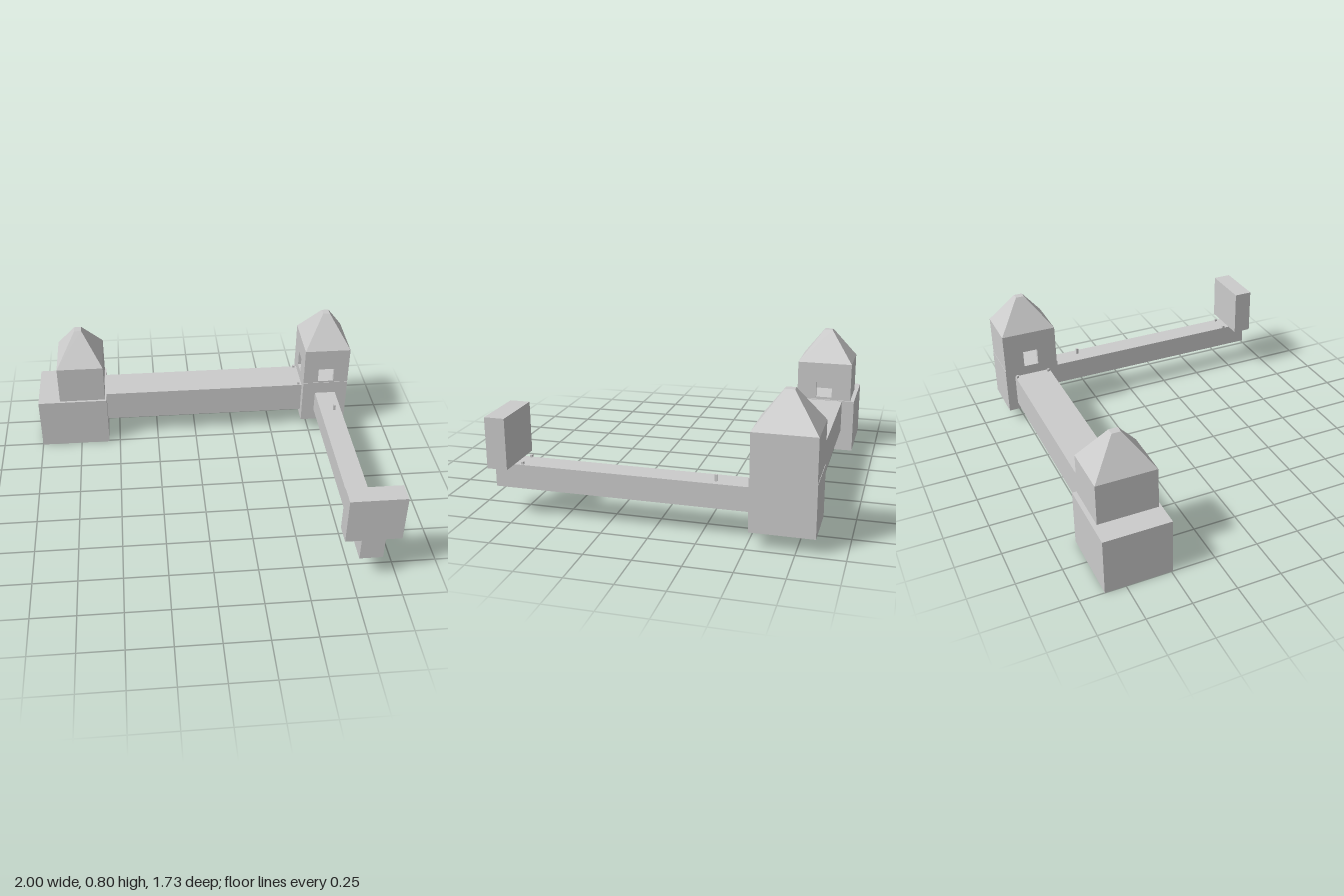
import * as THREE from 'three';

const material = new THREE.MeshStandardMaterial({ color: 0xcccccc, flatShading: true });
const WALL = 0.025;

function add(parent, name, geometry) {
  const mesh = new THREE.Mesh(geometry, material);
  mesh.name = name;
  parent.add(mesh);
  return mesh;
}

// Box given by its minimum and maximum corners
function block(parent, name, [x0, y0, z0], [x1, y1, z1]) {
  const mesh = add(parent, name, new THREE.BoxGeometry(x1 - x0, y1 - y0, z1 - z0));
  mesh.position.set((x0 + x1) / 2, (y0 + y1) / 2, (z0 + z1) / 2);
  return mesh;
}

// Upright wall panel, outer face towards +z, with an optional rectangular opening
function panel(width, height, opening) {
  const shape = new THREE.Shape();
  shape.moveTo(-width / 2, 0).lineTo(width / 2, 0).lineTo(width / 2, height).lineTo(-width / 2, height);
  shape.closePath();
  if (opening) {
    const [w, y0, y1] = opening;
    const hole = new THREE.Path();
    hole.moveTo(-w / 2, y0).lineTo(-w / 2, y1).lineTo(w / 2, y1).lineTo(w / 2, y0);
    hole.closePath();
    shape.holes.push(hole);
  }
  return new THREE.ExtrudeGeometry(shape, { depth: WALL, bevelEnabled: false }).translate(0, 0, -WALL);
}

// Hollow square chamber with openings, under a truncated pyramid roof
function tower(parent, name, { x, z, w, d, y0, y1, top, openings }) {
  const group = new THREE.Group();
  group.name = name;
  group.position.set(x, y0, z);
  parent.add(group);
  for (const [side, angle] of [['front', 0], ['left', Math.PI / 2], ['back', Math.PI], ['right', -Math.PI / 2]]) {
    const along = side === 'front' || side === 'back';
    const out = (along ? d : w) / 2;
    const length = along ? w : d - 2 * WALL;
    const wall = add(group, side + 'TowerWall', panel(length, y1 - y0, openings[side]));
    wall.rotation.y = angle;
    wall.position.set(Math.sin(angle) * out, 0, Math.cos(angle) * out);
  }
  const roofGeometry = new THREE.CylinderGeometry(0.15 * Math.SQRT1_2, Math.SQRT1_2, top - y1, 4)
    .rotateY(Math.PI / 4)
    .scale(w, 1, d);
  add(group, 'roof', roofGeometry).position.y = (y1 + top) / 2 - y0;
}

export function createModel() {
  const model = new THREE.Group();
  model.name = 'walledTowers';

  // Broad base with its tower
  block(model, 'towerBase', [-1, 0, -0.865], [-0.57, 0.325, -0.49]);
  tower(model, 'baseTower', {
    x: -0.722, z: -0.673, w: 0.285, d: 0.335, y0: 0.325, y1: 0.56, top: 0.75,
    openings: { left: [0.1, 0.015, 0.11] },
  });

  // Corner tower: solid foot and hollow upper chamber
  block(model, 'cornerTowerFoot', [0.695, 0.085, -0.847], [0.98, 0.37, -0.512]);
  tower(model, 'cornerTower', {
    x: 0.8375, z: -0.68, w: 0.285, d: 0.33, y0: 0.37, y1: 0.605, top: 0.795,
    openings: { front: [0.1, 0.01, 0.1], right: [0.09, 0.01, 0.11] },
  });

  // Long walls meeting at the corner tower
  block(model, 'backWall', [-0.57, 0.13, -0.79], [0.695, 0.322, -0.567]);
  block(model, 'sideWall', [0.775, 0.16, -0.512], [0.905, 0.292, 0.865]);
  block(model, 'endBlock', [0.685, 0.292, 0.755], [0.995, 0.57, 0.865]);

  // Small posts along the walls
  const posts = [
    [0.675, 0.322, -0.78, 0.014], [0.675, 0.322, -0.58, 0.014],
    [0.78, 0.292, 0.715, 0.014], [0.892, 0.292, 0.715, 0.014],
    [0.863, 0.292, -0.322, 0.035],
  ];
  for (const [x, y, z, h] of posts) {
    block(model, 'post', [x - 0.007, y, z - 0.007], [x + 0.007, y + h, z + 0.007]);
  }
  return model;
}
